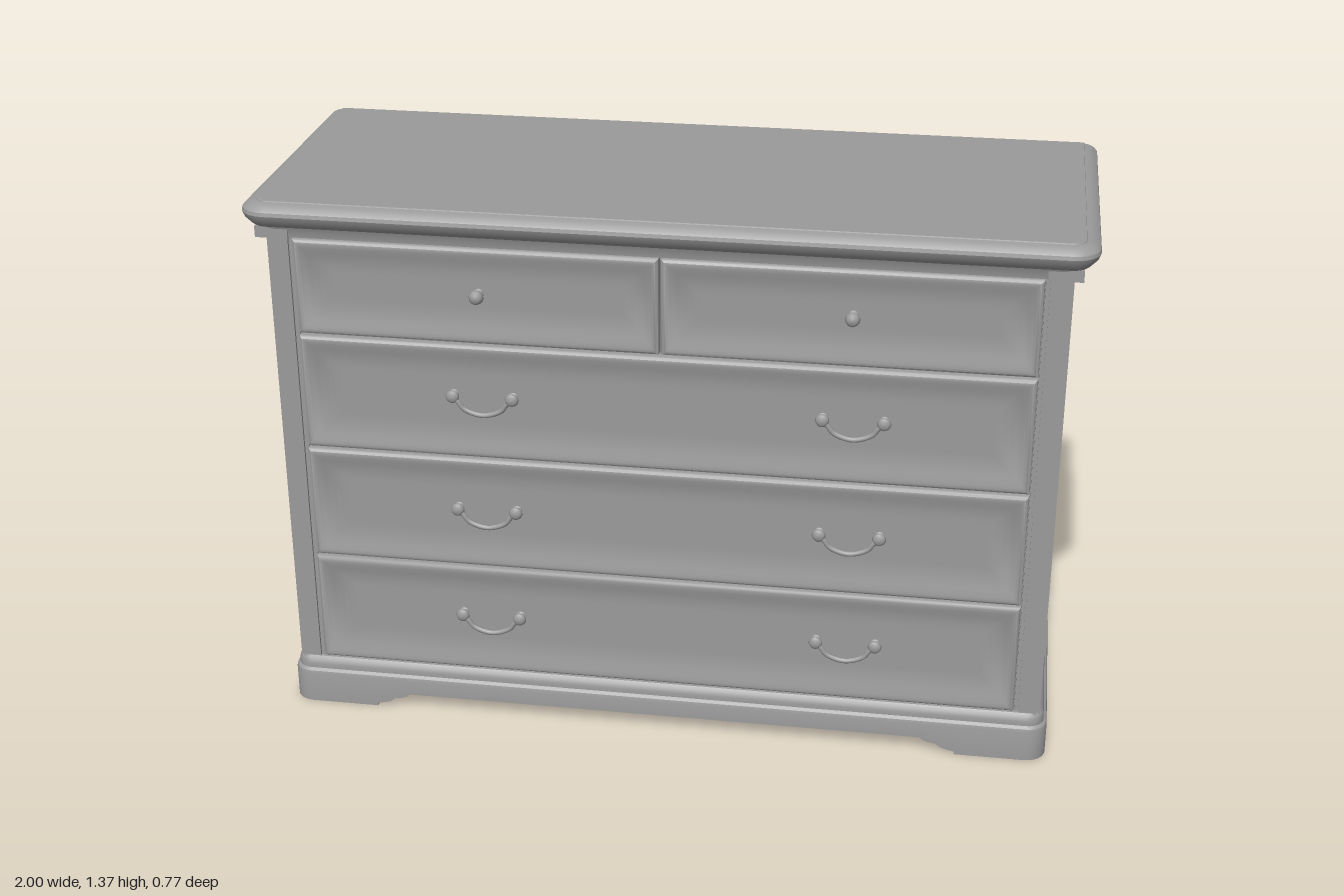
import * as THREE from 'three';
import { toCreasedNormals } from 'three/addons/utils/BufferGeometryUtils.js';

const BACK = -0.385;
const material = new THREE.MeshStandardMaterial({ color: 0x9b9b9b, side: THREE.DoubleSide });

function add(parent, name, geometry, x = 0, y = 0, z = 0) {
  const mesh = new THREE.Mesh(geometry, material);
  mesh.name = name;
  mesh.position.set(x, y, z);
  parent.add(mesh);
  return mesh;
}

function toGeometry(positions, index, crease) {
  const g = new THREE.BufferGeometry();
  g.setAttribute('position', new THREE.Float32BufferAttribute(positions, 3));
  g.setIndex(index);
  return toCreasedNormals(g, crease);
}

// U-shaped plan, left back -> front -> right back, with rounded front corners.
// Each station maps an outward offset to [x, z].
function planStations(w, f, r, frontX = [], sideZ = []) {
  const half = [(o) => [w + o, BACK], ...sideZ.map((z) => (o) => [w + o, z])];
  for (let i = 0; i <= 6; i++) {
    const a = (i / 6) * Math.PI / 2;
    half.push((o) => [w - r + (r + o) * Math.cos(a), f - r + (r + o) * Math.sin(a)]);
  }
  frontX.forEach((x) => half.push((o) => [x, f + o]));
  const left = half.map((s) => (o) => [-s(o)[0], s(o)[1]]);
  return [...left, ...half.reverse()];
}

// Sweeps a profile of [offset, y] along the plan.
// solid: closes the back and the top; otherwise a closed moulding with end caps.
function sweep(profile, stations, { solid = false, bottom = false, floor = () => 0 } = {}) {
  const pos = [], idx = [], n = stations.length, m = profile.length;
  stations.forEach((s) => profile.forEach(([o, y]) => {
    const [x, z] = s(o);
    pos.push(x, Math.max(y, floor(s(0)[0], s(0)[1])), z);
  }));
  const at = (i, j) => (i % n) * m + (j % m);
  for (let i = 0; i < (solid ? n : n - 1); i++) {
    for (let j = 0; j < (solid ? m - 1 : m); j++) {
      const a = at(i, j), b = at(i + 1, j), c = at(i + 1, j + 1), d = at(i, j + 1);
      idx.push(a, b, c, a, c, d);
    }
  }
  if (solid) {
    for (let i = 1; i < n - 1; i++) {
      idx.push(at(0, m - 1), at(i, m - 1), at(i + 1, m - 1));
      if (bottom) idx.push(at(0, 0), at(i + 1, 0), at(i, 0));
    }
  } else {
    const tris = THREE.ShapeUtils.triangulateShape(profile.map((p) => new THREE.Vector2(...p)), []);
    tris.forEach(([a, b, c]) => {
      idx.push(at(0, a), at(0, b), at(0, c), at(n - 1, a), at(n - 1, c), at(n - 1, b));
    });
  }
  return toGeometry(pos, idx, 0.5);
}

// Drawer front from nested rectangles: rounded rim, sloped border, sunken field
function drawerFront(w, h) {
  const rings = [[0, 0.316], [0, 0.338], [0.002, 0.344], [0.007, 0.348], [0.013, 0.348],
    [0.02, 0.346], [0.035, 0.339], [0.05, 0.333], [0.065, 0.3295], [0.08, 0.328], [0.088, 0.328]];
  const pos = [], idx = [];
  rings.forEach(([inset, z]) => {
    const x = w / 2 - inset, y = h / 2 - inset;
    pos.push(-x, -y, z, x, -y, z, x, y, z, -x, y, z);
  });
  for (let k = 0; k < rings.length - 1; k++) {
    for (let c = 0; c < 4; c++) {
      const a = k * 4 + c, b = k * 4 + (c + 1) % 4;
      idx.push(a, b, b + 4, a, b + 4, a + 4);
    }
  }
  const l = (rings.length - 1) * 4;
  idx.push(l, l + 1, l + 2, l, l + 2, l + 3);
  return toGeometry(pos, idx, 0.9);
}

// Turned knob pointing forward, of given radius and length
function knob(radius, length) {
  const pts = [[0.7, 0], [0.65, 0.08], [0.4, 0.15], [0.4, 0.3], [0.8, 0.4], [1, 0.62], [0.85, 0.85], [0.5, 0.97], [0, 1]];
  return new THREE.LatheGeometry(pts.map(([r, t]) => new THREE.Vector2(r * radius, t * length)), 16).rotateX(Math.PI / 2);
}

// Swinging pull: two posts and a drooping bail
function bailPull() {
  const pull = new THREE.Group();
  pull.name = 'bailPull';
  for (const s of [-1, 1]) add(pull, 'pullPost', knob(0.017, 0.029), s * 0.073, 0, 0);
  const curve = new THREE.CatmullRomCurve3([[-0.073, 0], [-0.06, -0.012], [-0.045, -0.031], [0, -0.045],
    [0.045, -0.031], [0.06, -0.012], [0.073, 0]].map(([x, y]) => new THREE.Vector3(x, y, 0.019)));
  add(pull, 'pullBail', new THREE.TubeGeometry(curve, 28, 0.0065, 8));
  return pull;
}

export function createModel() {
  const model = new THREE.Group();
  model.name = 'chestOfDrawers';

  // Carcass, open underneath
  add(model, 'carcass', sweep([[0, 0.115], [0, 1.3]], planStations(0.945, 0.312, 0.004, [0.93], [0.3]), { solid: true }));

  // Top slab with a rounded nose
  add(model, 'topSlab', sweep([[0, 1.3], [0, 1.304], [0.03, 1.304], [0.038, 1.311], [0.05, 1.324], [0.055, 1.337],
    [0.053, 1.346], [0.045, 1.354], [0.034, 1.36], [0.021, 1.3625], [0.02, 1.365], [0, 1.365]],
  planStations(0.945, 0.33, 0.01), { solid: true, bottom: true }));

  // Moulding below the top
  add(model, 'corniceMoulding', sweep([[0.004, 1.273], [0.016, 1.277], [0.018, 1.29], [0.024, 1.304], [-0.02, 1.304], [-0.02, 1.273]],
    planStations(0.945, 0.334, 0.022)));

  // Plinth: shaped feet at the front, plain sides
  const feet = [[0.741, 0], [0.74, 0.008], [0.72, 0.012], [0.705, 0.017], [0.695, 0.026], [0.675, 0.029], [0.662, 0.034], [0.655, 0.041]];
  const floor = (x, z) => {
    if (z < 0.3) return 0.008;
    const hit = feet.find(([fx]) => Math.abs(fx - Math.abs(x)) < 1e-4);
    return hit ? hit[1] : 0;
  };
  add(model, 'plinth', sweep([[0.02, 0], [0.02, 0.08], [0.018, 0.088], [0.011, 0.094], [0.011, 0.106], [0.008, 0.117],
    [0.001, 0.125], [-0.008, 0.125], [-0.008, 0]],
  planStations(0.945, 0.34, 0.03, feet.map((p) => p[0]), [0.299, 0.301]), { floor }));

  // Corner pilasters with a raised strip, and blocks above them
  for (const s of [-1, 1]) {
    add(model, 'pilaster', new THREE.BoxGeometry(0.063, 1.155, 0.019), s * 0.9135, 0.6975, 0.3225);
    add(model, 'pilasterStrip', new THREE.BoxGeometry(0.045, 1.155, 0.01), s * 0.914, 0.6975, 0.334);
    add(model, 'cornerBlock', new THREE.BoxGeometry(0.08, 0.028, 0.075), s * 0.925, 1.289, 0.318);
  }

  // Two small drawers with knobs
  [[-0.4415, -0.436], [0.4415, 0.45]].forEach(([x, knobX]) => {
    add(model, 'smallDrawer', drawerFront(0.877, 0.241), x, 1.1505, 0);
    add(model, 'drawerKnob', knob(0.018, 0.041), knobX, 1.153, 0.328);
  });

  // Three wide drawers with bail pulls
  [[0.13, 0.422, 0.283], [0.428, 0.723, 0.583], [0.729, 1.024, 0.889]].forEach(([y0, y1, pullY]) => {
    add(model, 'wideDrawer', drawerFront(1.76, y1 - y0), 0, (y0 + y1) / 2, 0);
    for (const x of [-0.434, 0.459]) {
      const pull = bailPull();
      pull.position.set(x, pullY, 0.328);
      model.add(pull);
    }
  });

  return model;
}
